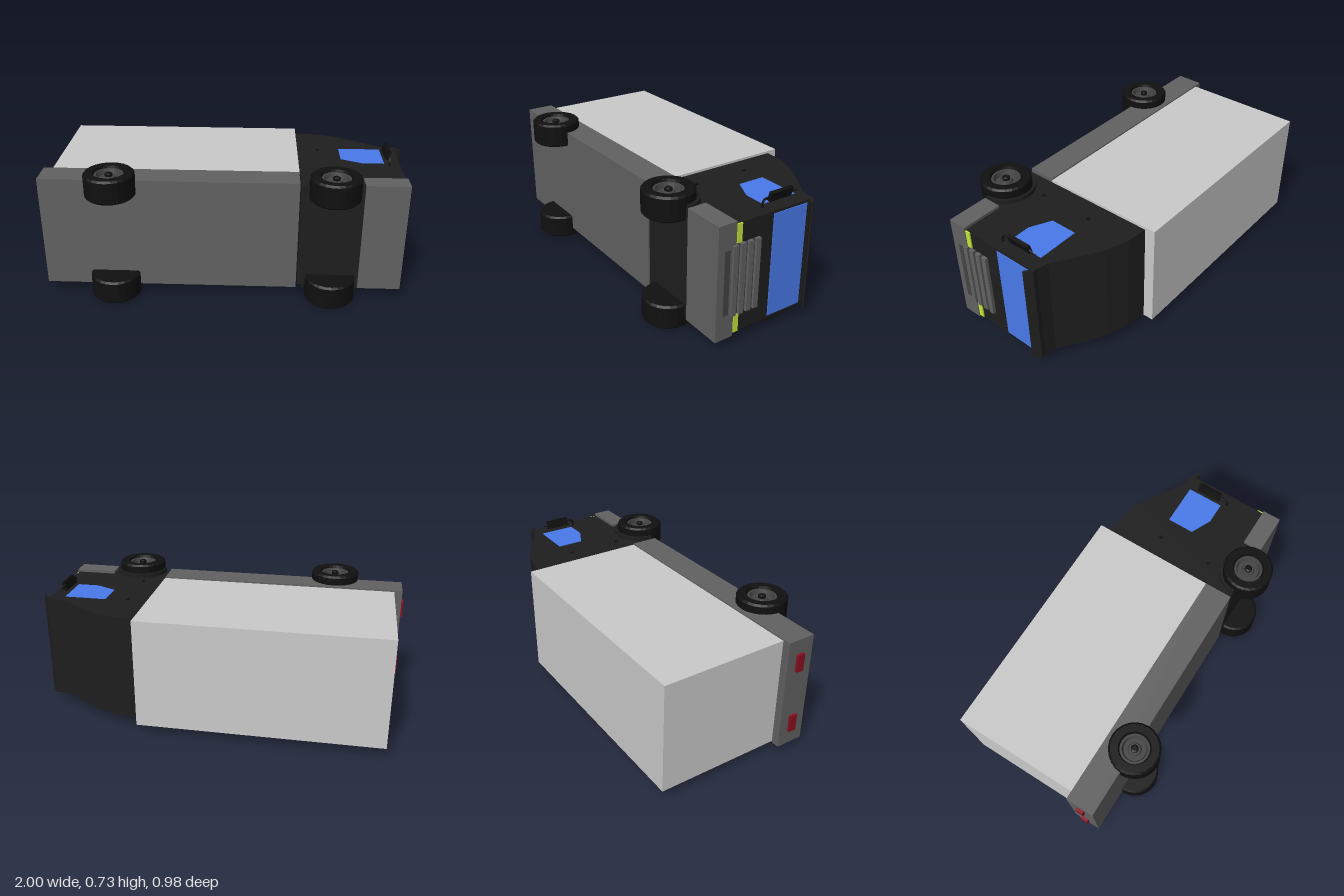
import * as THREE from 'three';

const mat = (color, side = THREE.FrontSide) =>
  new THREE.MeshStandardMaterial({ color, side, flatShading: true });

const M = {
  cargo: mat(0xcccccc), grey: mat(0x626262), dark: mat(0x444444), cab: mat(0x1e1e1e),
  black: mat(0x101010), glass: mat(0x4a7bec), lamp: mat(0xc4e83a), red: mat(0x8a1020),
};

// Truck space: x forward, y up, z across
function add(parent, name, geometry, material) {
  const mesh = new THREE.Mesh(geometry, material);
  mesh.name = name;
  parent.add(mesh);
  return mesh;
}

// Box from its minimum and maximum on each axis
function box(parent, name, material, x0, x1, y0, y1, z0, z1) {
  const mesh = add(parent, name, new THREE.BoxGeometry(x1 - x0, y1 - y0, z1 - z0), material);
  mesh.position.set((x0 + x1) / 2, (y0 + y1) / 2, (z0 + z1) / 2);
  return mesh;
}

// Side outline extruded across z, from z0 to z1
function slab(parent, name, material, points, z0, z1) {
  const shape = new THREE.Shape(points.map(([x, y]) => new THREE.Vector2(x, y)));
  const geometry = new THREE.ExtrudeGeometry(shape, { depth: z1 - z0, bevelEnabled: false });
  return add(parent, name, geometry.translate(0, 0, z0), material);
}

// Wheel with its outer face toward +z
function makeWheel(name) {
  const wheel = new THREE.Group();
  wheel.name = name;
  const lathe = (part, material, pts) =>
    add(wheel, part, new THREE.LatheGeometry(pts.map(([r, h]) => new THREE.Vector2(r, h)), 24)
      .rotateX(Math.PI / 2), material);
  lathe('tyre', M.black, [
    [0, -0.067], [0.125, -0.067], [0.135, -0.057], [0.135, 0.057],
    [0.125, 0.067], [0.085, 0.067], [0.078, 0.045], [0.078, 0.02],
  ]);
  lathe('rim', M.dark, [
    [0.08, 0.03], [0.077, 0.055], [0.066, 0.055], [0.058, 0.03],
    [0.036, 0.03], [0.03, 0.045], [0, 0.045],
  ]);
  lathe('hubCap', M.black, [[0.02, 0.04], [0.02, 0.058], [0.012, 0.063], [0, 0.063]]);
  return wheel;
}

// Parts found on each side of the cab; s is +1 or -1
function addCabSide(truck, s) {
  const across = (a, b) => (s > 0 ? [a, b] : [-b, -a]);

  slab(truck, 'sideWindow', M.glass, [
    [0.64, 0.185], [0.64, 0.035], [0.755, -0.02], [0.875, -0.02], [0.875, 0.185],
  ], ...across(0.29, 0.298));

  // Arch flare above the front wheel
  const arch = [];
  for (let i = 0; i <= 12; i++) {
    const a = (i / 12) * Math.PI;
    arch.push([0.58 + 0.152 * Math.cos(a), -0.35 + 0.152 * Math.sin(a)]);
  }
  for (let i = 12; i >= 0; i--) {
    const a = (i / 12) * Math.PI;
    arch.push([0.58 + 0.138 * Math.cos(a), -0.35 + 0.138 * Math.sin(a)]);
  }
  slab(truck, 'wheelArch', M.cab, arch, ...across(0.29, 0.318));

  // Door hinges
  for (const y of [0.165, -0.145])
    box(truck, 'doorHinge', M.black, 0.51, 0.525, y - 0.01, y + 0.01, ...across(0.29, 0.3));

  // Mirror on a bent arm
  const arm = new THREE.CatmullRomCurve3([
    [0.9, -0.045, 0.29], [0.9, -0.045, 0.315], [0.9, -0.035, 0.332], [0.9, 0.01, 0.335],
  ].map(([x, y, z]) => new THREE.Vector3(x, y, z * s)));
  add(truck, 'mirrorArm', new THREE.TubeGeometry(arm, 12, 0.006, 6), M.black);
  const mirror = box(truck, 'mirror', M.black, 0.887, 0.907, 0, 0.137, ...across(0.311, 0.361));
  mirror.rotation.y = s * 0.3;
  const tip = add(truck, 'mirrorTip', new THREE.ConeGeometry(0.006, 0.05, 6), M.black);
  tip.position.set(0.9, 0.16, 0.332 * s);
  tip.rotation.x = -0.12 * s;

  // Front and rear lamps
  box(truck, 'headlight', M.lamp, 0.95, 0.966, -0.246, -0.216, ...across(0.195, 0.294));
  box(truck, 'tailLight', M.red, -1, -0.98, -0.295, -0.253, ...across(0.135, 0.232));
}

export function createModel() {
  const truck = new THREE.Group();
  truck.name = 'boxTruck';

  box(truck, 'chassis', M.grey, -0.985, 0.397, -0.353, -0.198, -0.314, 0.314);
  box(truck, 'cargoBox', M.cargo, -0.94, 0.4, -0.198, 0.492, -0.306, 0.306);

  // Cab with a sloping wind deflector roof
  slab(truck, 'cab', M.cab, [
    [0.403, -0.35], [0.955, -0.35], [0.96, -0.2], [0.96, 0.19], [0.957, 0.222],
    [0.88, 0.237], [0.76, 0.315], [0.64, 0.385], [0.52, 0.425], [0.403, 0.436],
  ], -0.295, 0.295);
  slab(truck, 'sunVisor', M.cab, [
    [0.94, 0.2], [0.965, 0.2], [0.993, 0.183], [1, 0.188], [0.968, 0.226], [0.94, 0.224],
  ], -0.297, 0.297);
  box(truck, 'windscreen', M.glass, 0.95, 0.964, -0.025, 0.185, -0.282, 0.282);

  // Bumper with a shallow intake
  box(truck, 'bumper', M.grey, 0.735, 0.967, -0.355, -0.25, -0.31, 0.31);
  box(truck, 'intake', M.dark, 0.96, 0.97, -0.315, -0.285, -0.175, 0.175);

  // Grille backing and slats
  box(truck, 'grille', M.dark, 0.95, 0.965, -0.255, -0.11, -0.187, 0.187);
  for (let i = 0; i < 4; i++) {
    const y = -0.122 - i * 0.045;
    box(truck, 'grilleSlat', M.grey, 0.955, 0.978, y - 0.014, y + 0.014, -0.19, 0.19);
  }

  for (const s of [1, -1]) {
    addCabSide(truck, s);
    for (const [name, x] of [['frontWheel', 0.58], ['rearWheel', -0.598]]) {
      const wheel = makeWheel(name);
      wheel.position.set(x, -0.357, s * 0.298);
      if (s < 0) wheel.rotation.y = Math.PI;
      truck.add(wheel);
    }
  }

  // The truck rests on its side, roof toward -z
  truck.rotation.x = -Math.PI / 2;
  truck.position.y = 0.365;
  const model = new THREE.Group();
  model.name = 'model';
  model.add(truck);
  return model;
}
